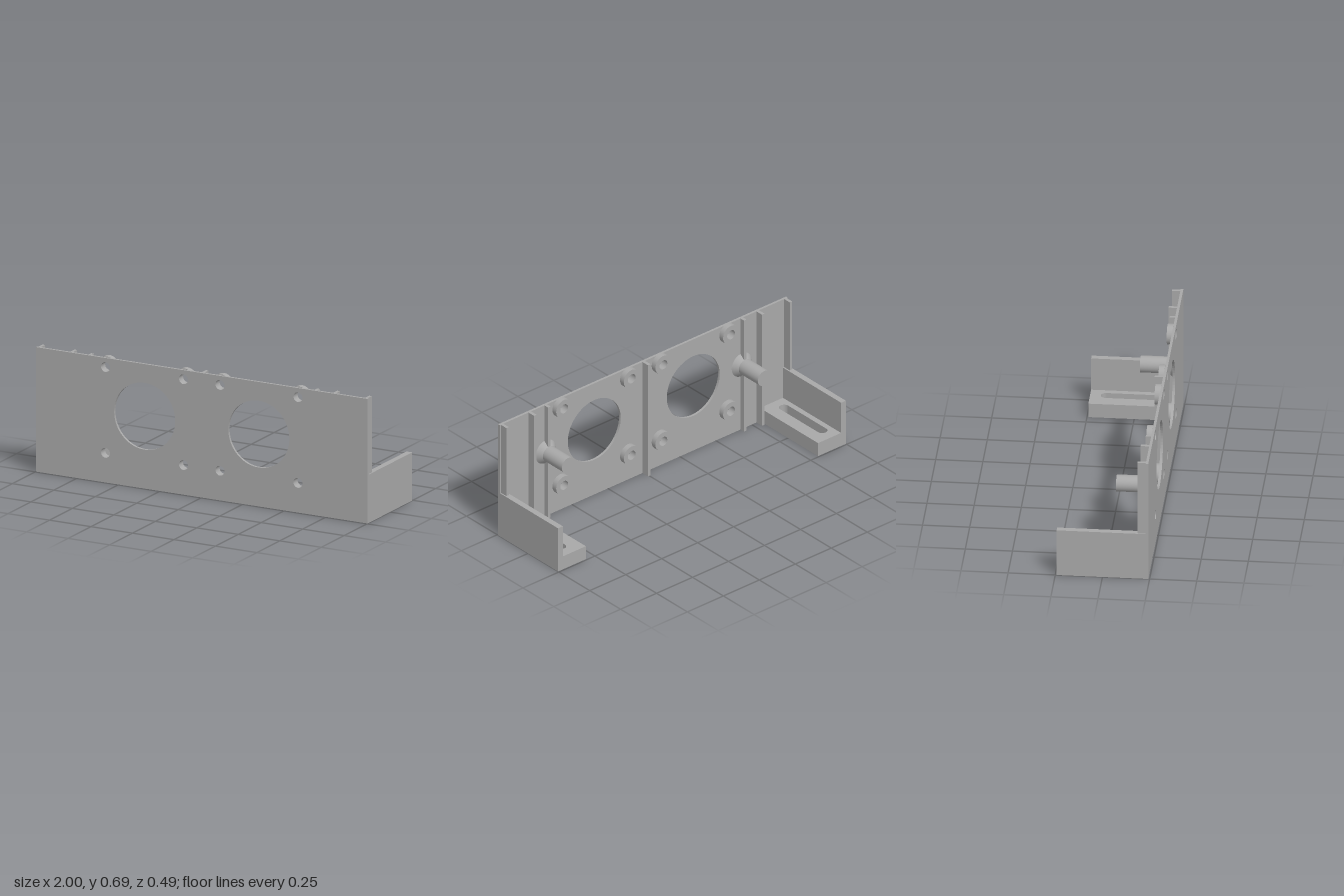
import * as THREE from 'three';

export function createModel() {
  const model = new THREE.Group();
  model.name = 'mountingPanel';
  const grey = new THREE.MeshStandardMaterial({ color: 0xa8a8a8 });
  grey.name = 'grey';

  const H = 0.685, BACK = 0.229, FRONT = 0.243;

  const add = (name, geometry, parent = model) => {
    const mesh = new THREE.Mesh(geometry, grey);
    mesh.name = name;
    parent.add(mesh);
    return mesh;
  };
  // Box given by its min and max corners
  const box = (name, x0, x1, y0, y1, z0, z1, parent) => {
    const g = new THREE.BoxGeometry(x1 - x0, y1 - y0, z1 - z0);
    g.translate((x0 + x1) / 2, (y0 + y1) / 2, (z0 + z1) / 2);
    return add(name, g, parent);
  };
  const rectangle = (x0, x1, y0, y1) => new THREE.Shape([
    new THREE.Vector2(x0, y0), new THREE.Vector2(x1, y0),
    new THREE.Vector2(x1, y1), new THREE.Vector2(x0, y1),
  ]);
  const circle = (x, y, r) => new THREE.Path().absarc(x, y, r, 0, Math.PI * 2, true);
  const extrude = (shape, depth) =>
    new THREE.ExtrudeGeometry(shape, { depth, bevelEnabled: false, curveSegments: 32 });

  // Front panel with two large openings and eight screw holes
  const screws = [];
  for (const x of [-0.58, -0.11, 0.11, 0.58])
    for (const y of [0.163, 0.635]) screws.push([x, y]);
  const panel = rectangle(-1, 1, 0, H);
  for (const x of [-0.344, 0.344]) panel.holes.push(circle(x, 0.398, 0.184));
  for (const [x, y] of screws) panel.holes.push(circle(x, y, 0.027));
  add('frontPanel', extrude(panel, FRONT - BACK).translate(0, 0, BACK));

  // Ring bosses behind the screw holes
  for (const [x, y] of screws) {
    const ring = new THREE.Shape().absarc(0, 0, 0.055, 0, Math.PI * 2, false);
    ring.holes.push(circle(0, 0, 0.027));
    add('screwBoss', extrude(ring, BACK - 0.198)).position.set(x, y, 0.198);
  }

  // Centre stiffening rib
  box('centreRib', -0.009, 0.009, 0, H, 0.184, BACK);

  for (const s of [-1, 1]) {
    const side = new THREE.Group();
    side.name = s > 0 ? 'leftSide' : 'rightSide';
    model.add(side);
    const span = (name, a, b, ...rest) =>
      box(name, Math.min(s * a, s * b), Math.max(s * a, s * b), ...rest, side);

    // Vertical ribs
    span('outerRib', 0.976, 0.993, 0.08, H, 0.184, BACK);
    span('innerRib', 0.783, 0.801, 0, H, 0.184, BACK);
    span('lowRib', 0.672, 0.69, 0, H, 0.2, BACK);

    // Peg with flared foot
    const peg = new THREE.CylinderGeometry(0.045, 0.045, BACK - 0.046, 40).rotateX(-Math.PI / 2);
    add('peg', peg, side).position.set(s * 0.681, 0.397, (BACK + 0.046) / 2);
    const foot = new THREE.CylinderGeometry(0.045, 0.07, BACK - 0.2, 40).rotateX(-Math.PI / 2);
    add('pegFoot', foot, side).position.set(s * 0.681, 0.397, (BACK + 0.2) / 2);

    // L-shaped bracket: upright wall and slotted floor
    span('bracketWall', 0.967, 1, 0, 0.266, -0.243, BACK);
    const floor = rectangle(Math.min(s * 0.807, s * 0.967), Math.max(s * 0.807, s * 0.967), -0.243, BACK);
    const slot = new THREE.Path();
    slot.absarc(s * 0.908, 0.15, 0.028, 0, Math.PI, false);
    slot.absarc(s * 0.908, -0.158, 0.028, Math.PI, Math.PI * 2, false);
    slot.closePath();
    floor.holes.push(slot);
    add('bracketFloor', extrude(floor, 0.08).rotateX(Math.PI / 2).translate(0, 0.08, 0), side);
  }
  return model;
}
